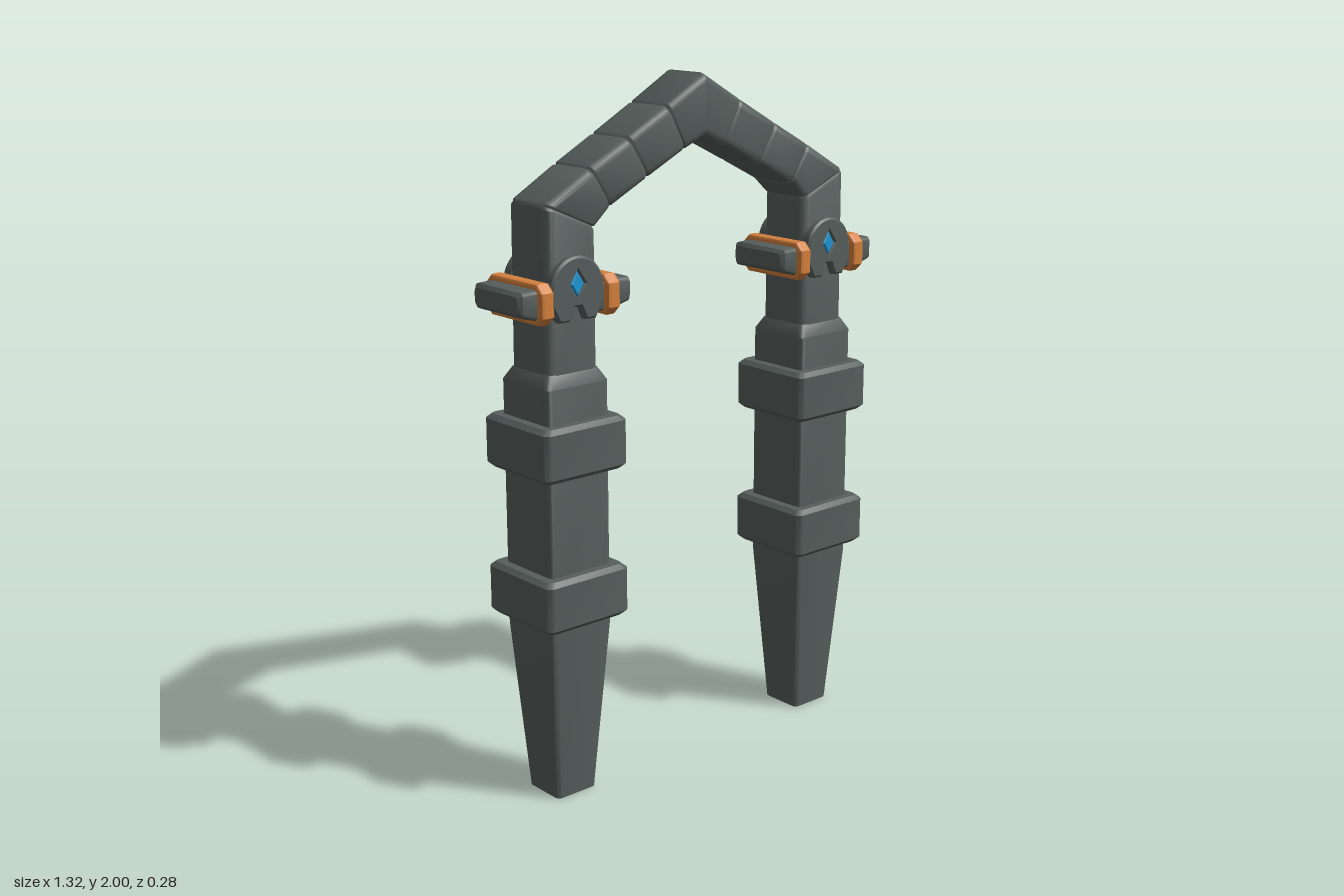
import * as THREE from 'three';
import { toCreasedNormals } from 'three/addons/utils/BufferGeometryUtils.js';

const stone = new THREE.MeshStandardMaterial({ color: 0x565e5c });
stone.name = 'grey stone';
const copper = new THREE.MeshStandardMaterial({ color: 0xd4803c });
copper.name = 'orange copper';
const crystal = new THREE.MeshStandardMaterial({ color: 0x1e96d4 });
crystal.name = 'blue crystal';

const LEG_X = 0.472;

// Cross-section spanning a to b in the xy plane, with half depth d and rounded corners r
function ring(a, b, d, r) {
  const u = new THREE.Vector3(b[0] - a[0], b[1] - a[1], 0);
  const mid = new THREE.Vector3((a[0] + b[0]) / 2, (a[1] + b[1]) / 2, 0);
  const h = u.length() / 2;
  u.normalize();
  const pts = [];
  [[1, 1], [-1, 1], [-1, -1], [1, -1]].forEach(([su, sz], q) => {
    for (let k = 0; k <= 3; k++) {
      const t = (q + k / 3) * Math.PI / 2;
      const p = mid.clone().addScaledVector(u, su * (h - r) + r * Math.cos(t));
      p.z = sz * (d - r) + r * Math.sin(t);
      pts.push(p);
    }
  });
  return pts;
}

// Closed skin through a list of rings
function loft(rings) {
  const v = [];
  const tri = (...ps) => ps.forEach((p) => v.push(p.x, p.y, p.z));
  const n = rings[0].length;
  const centre = (r) => r.reduce((s, p) => s.add(p), new THREE.Vector3()).divideScalar(n);
  const first = rings[0], last = rings[rings.length - 1];
  const c0 = centre(first), c1 = centre(last);
  for (let i = 0; i < n; i++) {
    const j = (i + 1) % n;
    for (let k = 0; k < rings.length - 1; k++) {
      const a = rings[k], b = rings[k + 1];
      tri(a[i], b[i], a[j]);
      tri(b[i], b[j], a[j]);
    }
    tri(c0, first[i], first[j]);
    tri(c1, last[j], last[i]);
  }
  const g = new THREE.BufferGeometry();
  g.setAttribute('position', new THREE.Float32BufferAttribute(v, 3));
  return toCreasedNormals(g, 0.6);
}

// Square upright column from [y, half width] steps
const column = (steps, r) => loft(steps.map(([y, w]) => ring([-w, y], [w, y], w, r)));

function mesh(name, geometry, material, parent) {
  const m = new THREE.Mesh(geometry, material);
  m.name = name;
  parent.add(m);
  return m;
}

function roundedRect(target, w, h, c) {
  return target.setFromPoints([
    [w - c, -h], [w, c - h], [w, h - c], [w - c, h],
    [c - w, h], [-w, h - c], [-w, c - h], [c - w, -h], [w - c, -h],
  ].map(([x, y]) => new THREE.Vector2(x, y)));
}

const diamond = (w, h, y) => [[0, y - h], [w, y], [0, y + h], [-w, y]]
  .map((p) => new THREE.Vector2(...p));

// Domed clasp plate with a notch at the bottom and a diamond socket
function claspGeometry() {
  const s = new THREE.Shape();
  s.moveTo(0.03, 1.388);
  s.lineTo(0.058, 1.388);
  s.lineTo(0.082, 1.43);
  s.lineTo(0.082, 1.465);
  s.absarc(0, 1.467, 0.082, 0, Math.PI, false);
  s.lineTo(-0.082, 1.43);
  s.lineTo(-0.058, 1.388);
  s.lineTo(-0.03, 1.388);
  s.lineTo(-0.014, 1.425);
  s.lineTo(0.014, 1.425);
  s.holes.push(new THREE.Path(diamond(0.03, 0.045, 1.48)));
  return new THREE.ExtrudeGeometry(s, {
    depth: 0.028, bevelThickness: 0.006, bevelSize: 0.006, bevelSegments: 1, curveSegments: 16,
  });
}

// Copper band wrapped around a crossbar stub
function cuffGeometry() {
  const s = roundedRect(new THREE.Shape(), 0.116, 0.048, 0.018);
  s.holes.push(roundedRect(new THREE.Path(), 0.1, 0.033, 0.01));
  const g = new THREE.ExtrudeGeometry(s, {
    depth: 0.024, bevelThickness: 0.009, bevelSize: 0.008, bevelSegments: 2,
  });
  return g.translate(0, 0, -0.012).rotateY(Math.PI / 2);
}

function createLeg() {
  const leg = new THREE.Group();
  mesh('taperedFoot', column([[0, 0.068], [0.5, 0.104], [0.56, 0.104]], 0.014), stone, leg);
  mesh('shaft', column([[0.54, 0.104], [1.205, 0.104], [1.24, 0.085]], 0.014), stone, leg);
  for (const y of [0.53, 0.957]) {
    mesh('collar', column([[y, 0.128], [y + 0.013, 0.141], [y + 0.137, 0.141], [y + 0.15, 0.128]], 0.02), stone, leg);
  }
  // Crossbar stubs and cuffs on both sides
  const cuff = cuffGeometry();
  const stub = loft([[0.06, 1.477, 1.392, 0.104], [0.13, 1.48, 1.398, 0.104],
    [0.178, 1.478, 1.41, 0.104], [0.189, 1.468, 1.42, 0.094]]
    .map(([x, top, low, d]) => ring([x, top], [x, low], d, 0.012)));
  for (const turn of [0, Math.PI]) {
    const side = new THREE.Group();
    side.name = 'crossbarSide';
    side.rotation.y = turn;
    leg.add(side);
    mesh('crossbarStub', stub, stone, side);
    mesh('copperCuff', cuff, copper, side).position.set(0.111, 1.439, 0);
  }
  // Clasp and gem, front and back
  const plate = claspGeometry();
  const gem = new THREE.ExtrudeGeometry(new THREE.Shape(diamond(0.017, 0.028, 1.48)), {
    depth: 0.004, bevelThickness: 0.006, bevelSize: 0.007, bevelSegments: 1,
  });
  for (const turn of [0, Math.PI]) {
    const face = new THREE.Group();
    face.name = 'claspFace';
    face.rotation.y = turn;
    leg.add(face);
    mesh('claspPlate', plate, stone, face).position.z = 0.075;
    mesh('diamondGem', gem, crystal, face).position.z = 0.097;
  }
  return leg;
}

// Seams of one arch half: outer x, y and inner x, y
const SEAMS = [
  [0.553, 1.69, 0.388, 1.618], [0.405, 1.776, 0.335, 1.665], [0.275, 1.846, 0.203, 1.731],
  [0.137, 1.922, 0.07, 1.796], [0, 2, 0, 1.825],
];

function createArchHalf(sign) {
  const half = new THREE.Group();
  // Shrinks a seam by inset and orders it so the skin faces outward on either side
  const seamRing = ([ox, oy, ix, iy], inset = 0) => {
    const u = new THREE.Vector2(ox - ix, oy - iy).normalize().multiplyScalar(inset);
    const o = [sign * (ox - u.x), oy - u.y], i = [sign * (ix + u.x), iy + u.y];
    return sign > 0 ? ring(i, o, 0.086 - inset, 0.024) : ring(o, i, 0.086 - inset, 0.024);
  };
  const mix = (a, b, t) => a.map((p, k) => p + (b[k] - p) * t);
  const post = [LEG_X + 0.085, 1.22, LEG_X - 0.085, 1.22];
  mesh('upperPost', loft([seamRing(post), seamRing(mix(post, SEAMS[0], 0.98)), seamRing(SEAMS[0], 0.004)]), stone, half);
  for (let k = 0; k < 4; k++) {
    const a = SEAMS[k], b = SEAMS[k + 1];
    const end = k === 3 ? 0 : 0.004;
    mesh('archBlock', loft([seamRing(a, 0.004), seamRing(mix(a, b, 0.05)),
      seamRing(mix(a, b, 0.95)), seamRing(b, end)]), stone, half);
  }
  return half;
}

export function createModel() {
  const model = new THREE.Group();
  model.name = 'stoneArch';
  for (const sign of [1, -1]) {
    const leg = createLeg();
    leg.name = sign > 0 ? 'leftLeg' : 'rightLeg';
    leg.position.x = sign * LEG_X;
    const arch = createArchHalf(sign);
    arch.name = sign > 0 ? 'leftArch' : 'rightArch';
    model.add(leg, arch);
  }
  return model;
}
